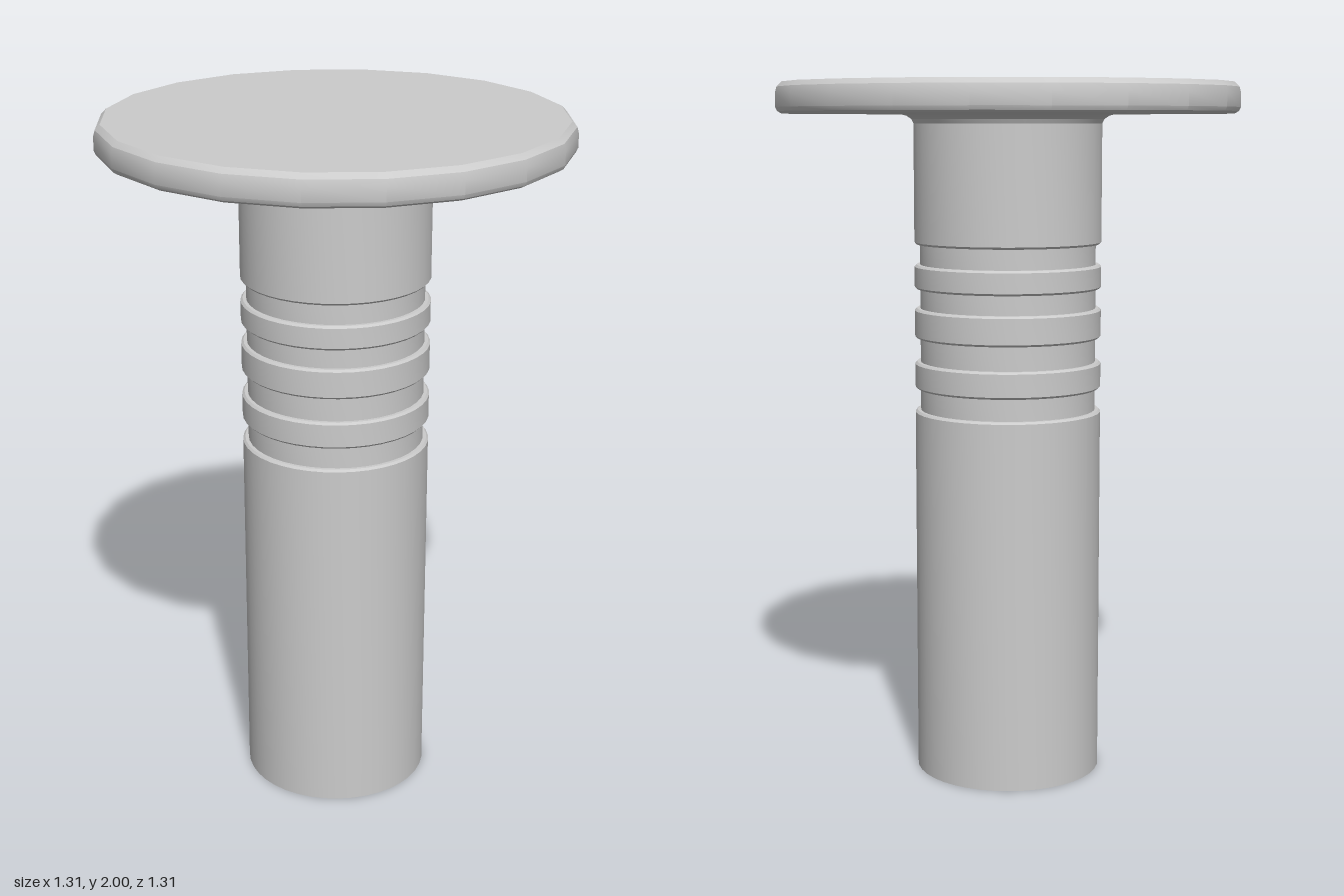
import * as THREE from 'three';
import { toCreasedNormals } from 'three/addons/utils/BufferGeometryUtils.js';

const material = new THREE.MeshStandardMaterial({ color: 0xcccccc, side: THREE.DoubleSide });

// Turned part from [radius, height] pairs listed bottom to top
function turned(name, profile, sides) {
  const points = profile.map(([r, y]) => new THREE.Vector2(r, y));
  const geometry = toCreasedNormals(new THREE.LatheGeometry(points, sides), 0.5);
  const mesh = new THREE.Mesh(geometry, material);
  mesh.name = name;
  return mesh;
}

export function createModel() {
  const model = new THREE.Group();
  model.name = 'flatHeadPin';

  // Hollow shaft, open at the bottom, with four grooves between bevelled rings
  const R = 0.268, GROOVE = 0.252, BEVEL = 0.006;
  const grooves = [[1.068, 1.131], [1.208, 1.277], [1.362, 1.418], [1.487, 1.545]];
  const shaft = [[R, 0]];
  for (const [low, high] of grooves) {
    shaft.push([R, low - BEVEL], [R - BEVEL, low], [GROOVE, low]);
    shaft.push([GROOVE, high], [R - BEVEL, high], [R, high + BEVEL]);
  }
  shaft.push([R, 1.885]);
  model.add(turned('groovedShaft', shaft, 40));

  // Small flare where the shaft meets the head
  model.add(turned('neckFlare', [[R, 1.885], [0.274, 1.897], [0.287, 1.906], [0.31, 1.912]], 40));

  // Wide faceted disc with a rounded rim
  model.add(turned('headDisc', [
    [0.262, 1.912], [0.638, 1.912], [0.65, 1.919], [0.655, 1.93],
    [0.655, 1.968], [0.65, 1.986], [0.636, 2], [0, 2],
  ], 20));

  return model;
}
